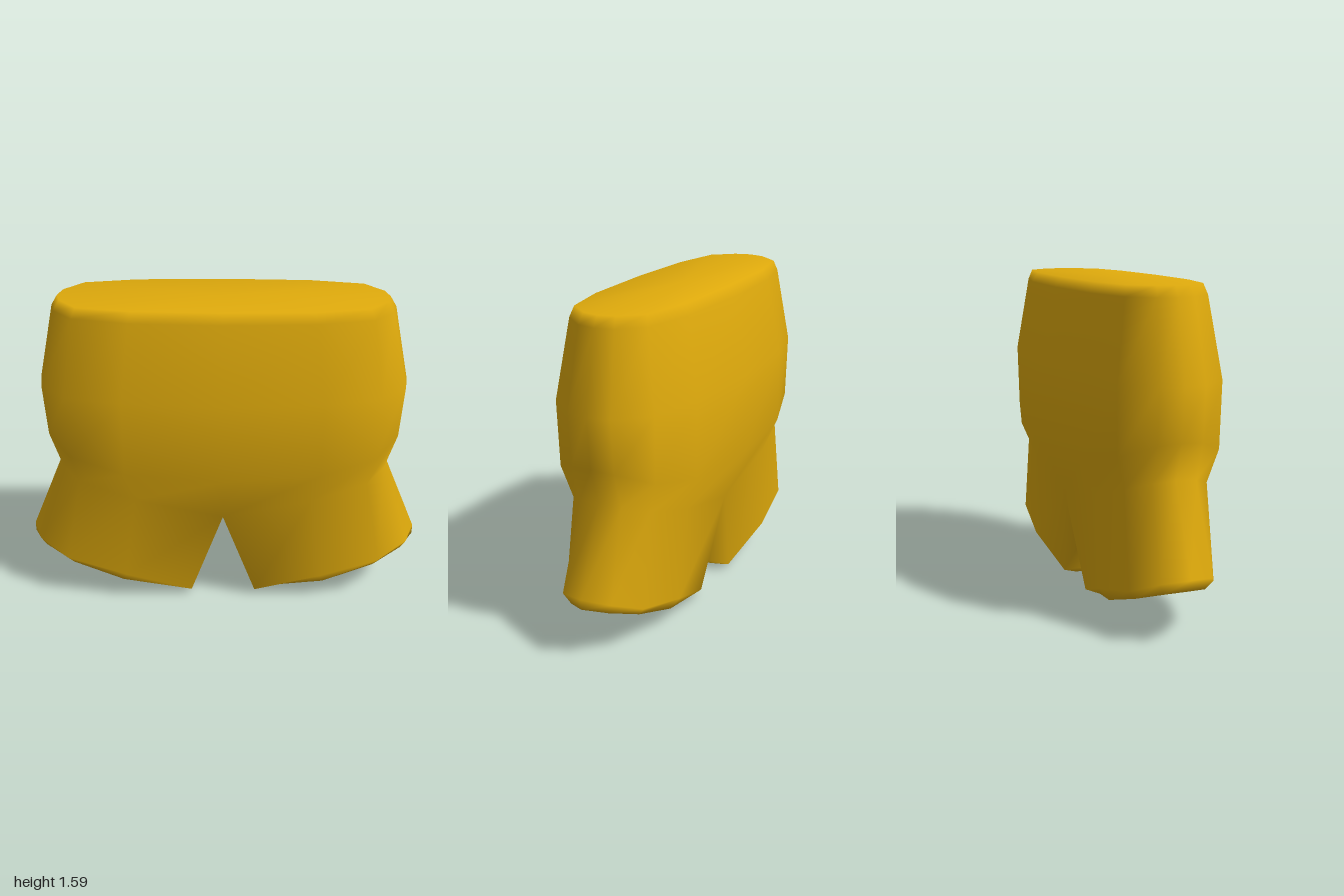
import * as THREE from 'three';

// Each section lists points [x, y, z] from centre front round to the +x side.
const TORSO = [
  [[0, 1.59, 0.25], [0.43, 1.59, 0.235], [0.69, 1.59, 0.185], [0.78, 1.59, 0.08], [0.8, 1.59, 0]],
  [[0, 1.54, 0.28], [0.44, 1.54, 0.26], [0.71, 1.54, 0.2], [0.81, 1.54, 0.09], [0.83, 1.54, 0]],
  [[0, 1.16, 0.352], [0.48, 1.16, 0.32], [0.76, 1.16, 0.255], [0.89, 1.16, 0.11], [0.908, 1.16, 0]],
  [[0, 0.76, 0.352], [0.48, 0.78, 0.32], [0.75, 0.84, 0.25], [0.87, 0.9, 0.11], [0.888, 0.91, 0]],
  [[0, 0.5, 0.24], [0.44, 0.6, 0.25], [0.72, 0.68, 0.205], [0.81, 0.72, 0.11], [0.828, 0.73, 0]],
];
const CROTCH = [0, 0.45, 0];
// Leg sections, with the inner seam point last.
const LEG = [
  [[0.165, 0.03, 0.19], [0.5, 0.15, 0.24], [0.8, 0.23, 0.21], [0.95, 0.3, 0.13], [1, 0.32, 0], [0.12, 0.05, 0]],
  [[0.19, 0.005, 0.12], [0.52, 0.095, 0.2], [0.78, 0.185, 0.175], [0.93, 0.245, 0.1], [1, 0.272, 0], [0.17, 0, 0]],
];

// Front to back along the +x side
const halfLoop = (q) => [...q.slice(0, 5), ...q.slice(0, 4).reverse().map(([x, y, z]) => [x, y, -z])];
const turn = ([x, y, z]) => [-x, y, -z];

function createShortsGeometry() {
  const pos = [], index = [];
  const add = (p) => pos.push(...p) / 3 - 1;

  // Skin between two closed rings, upper first
  const bridge = (up, low) => up.forEach((a, i) => {
    const j = (i + 1) % up.length;
    index.push(a, low[i], up[j], up[j], low[i], low[j]);
  });

  const cap = (ring, up) => {
    const mid = [0, 1, 2].map((k) => ring.reduce((s, i) => s + pos[i * 3 + k], 0) / ring.length);
    const c = add(mid);
    ring.forEach((a, i) => {
      const b = ring[(i + 1) % ring.length];
      index.push(c, ...(up ? [a, b] : [b, a]));
    });
  };

  // Torso with a closed waist
  const rings = TORSO.map((q) => {
    const half = halfLoop(q).slice(0, 8);
    return [...half, ...half.map(turn)].map(add);
  });
  cap(rings[0], true);
  for (let i = 1; i < rings.length; i++) bridge(rings[i - 1], rings[i]);

  // Two legs sharing the crotch seam
  const hip = rings[rings.length - 1];
  const crotch = add(CROTCH);
  for (const side of [0, 1]) {
    let ring = Array.from({ length: 9 }, (_, i) => hip[(i + side * 8) % 16]).concat(crotch);
    for (const section of LEG) {
      const pts = [...halfLoop(section), section[5]];
      const next = pts.map((p) => add(side ? turn(p) : p));
      bridge(ring, next);
      ring = next;
    }
    cap(ring, false);
  }

  const geometry = new THREE.BufferGeometry();
  geometry.setAttribute('position', new THREE.Float32BufferAttribute(pos, 3));
  geometry.setIndex(index);
  geometry.computeVertexNormals();
  return geometry;
}

export function createModel() {
  const group = new THREE.Group();
  group.name = 'shortsModel';
  const material = new THREE.MeshStandardMaterial({ color: 0xe0ab0c });
  material.name = 'mustard yellow';
  const shorts = new THREE.Mesh(createShortsGeometry(), material);
  shorts.name = 'shorts';
  group.add(shorts);
  return group;
}
